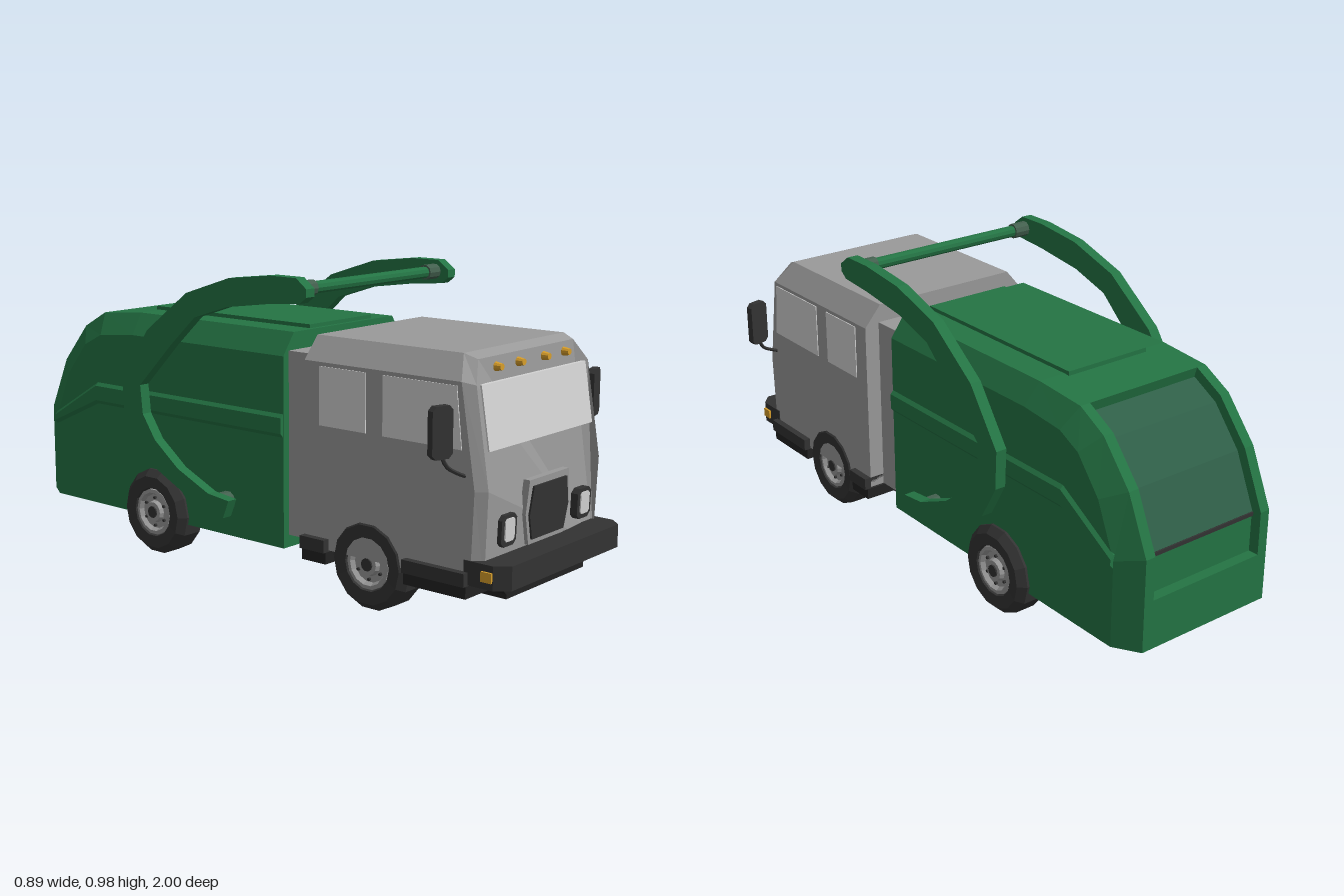
import * as THREE from 'three';

const mat = (name, color) => Object.assign(new THREE.MeshStandardMaterial({ color }), { name });

export function createModel() {
  const truck = new THREE.Group();
  truck.name = 'refuseTruck';
  const green = mat('body green', 0x247444);
  const grey = mat('cab grey', 0x9a9a9a);
  const black = mat('trim black', 0x333333);
  const deepBlack = mat('underside black', 0x222222);
  const glass = mat('window glass', 0xd3d3d3);
  const amber = mat('amber', 0xd99f2b);
  const rearGlass = mat('rear panel green', 0x2f5f48);
  const coupling = mat('coupling green grey', 0x44604f);

  const add = (name, geo, material) => {
    const g = geo.index ? geo.toNonIndexed() : geo;
    g.computeVertexNormals();
    const m = new THREE.Mesh(g, material);
    m.name = name;
    truck.add(m);
    return m;
  };
  const box = (name, x0, x1, y0, y1, z0, z1, material) =>
    add(name, new THREE.BoxGeometry(x1 - x0, y1 - y0, z1 - z0)
      .translate((x0 + x1) / 2, (y0 + y1) / 2, (z0 + z1) / 2), material);
  const shapeOf = pts => new THREE.Shape(pts.map(p => new THREE.Vector2(p[0], p[1])));
  // Side profile given as [z, y], spanning x0..x1
  const profile = (pts, x0, x1) =>
    new THREE.ExtrudeGeometry(shapeOf(pts.map(([z, y]) => [-z, y])), { depth: x1 - x0, bevelEnabled: false })
      .rotateY(Math.PI / 2).translate(x0, 0, 0);
  // Cylinder lying along x
  const rod = (r, x0, x1, y, z, n = 10) =>
    new THREE.CylinderGeometry(r, r, x1 - x0, n).rotateZ(Math.PI / 2).translate((x0 + x1) / 2, y, z);
  // Closed rings joined in order, with fan caps on both ends
  const loft = rings => {
    const pos = [];
    const tri = (a, b, c) => pos.push(...a, ...b, ...c);
    const n = rings[0].length;
    for (let i = 0; i + 1 < rings.length; i++)
      for (let j = 0; j < n; j++) {
        const k = (j + 1) % n, [r, s] = [rings[i], rings[i + 1]];
        tri(r[j], r[k], s[k]);
        tri(r[j], s[k], s[j]);
      }
    const first = rings[0], last = rings[rings.length - 1];
    for (let j = 1; j + 1 < n; j++) {
      tri(first[0], first[j + 1], first[j]);
      tri(last[0], last[j], last[j + 1]);
    }
    const g = new THREE.BufferGeometry();
    g.setAttribute('position', new THREE.Float32BufferAttribute(pos, 3));
    return g;
  };

  // Cab: chamfered section lofted toward a slanted front
  const slope = [[0.1, 0.908], [0.43, 0.92], [0.76, 0.865], [0.85, 0.8]];
  const frontZ = y => {
    const i = y < 0.43 ? 0 : y < 0.76 ? 1 : 2;
    const [a, b] = [slope[i], slope[i + 1]];
    return a[1] + (b[1] - a[1]) * (y - a[0]) / (b[0] - a[0]);
  };
  const cabRing = (half, z) => [...half, ...half.map(([x, y]) => [-x, y]).reverse()].map(([x, y]) => [x, y, z(y)]);
  const side = [[0.322, 0.16], [0.322, 0.43], [0.322, 0.735], [0.262, 0.805]];
  const face = [[0.295, 0.16], [0.297, 0.43], [0.295, 0.725], [0.25, 0.79]];
  add('cab', loft([cabRing(side, () => 0.265), cabRing(side, y => frontZ(y) - 0.03), cabRing(face, frontZ)]), grey);
  box('cabRearHousing', -0.27, 0.27, 0.16, 0.745, 0.15, 0.27, grey);

  // Plates that follow the cab front
  const frontPlate = (name, pts, depth, material) => {
    const g = new THREE.ExtrudeGeometry(shapeOf(pts), { depth: depth + 0.01, bevelEnabled: false });
    const p = g.attributes.position;
    for (let i = 0; i < p.count; i++) p.setZ(i, p.getZ(i) - 0.01 + frontZ(p.getY(i)));
    return add(name, g, material);
  };
  const chamfered = (cx, cy, w, h, c) => [[-w + c, -h], [w - c, -h], [w, -h + c], [w, h - c], [w - c, h], [-w + c, h], [-w, h - c], [-w, -h + c]]
    .map(([x, y]) => [x + cx, y + cy]);
  frontPlate('windscreen', [[-0.275, 0.538], [0.275, 0.538], [0.275, 0.723], [-0.275, 0.723]], 0.003, glass);
  frontPlate('grilleFrame', [[-0.095, 0.235], [0.095, 0.235], [0.118, 0.33], [0.105, 0.43], [-0.105, 0.43], [-0.118, 0.33]], 0.012, grey);
  frontPlate('grille', [[-0.085, 0.25], [0.085, 0.25], [0.104, 0.325], [0.088, 0.41], [-0.088, 0.41], [-0.104, 0.325]], 0.018, black);
  for (const s of [-1, 1]) {
    frontPlate('headlightFrame', chamfered(s * 0.203, 0.303, 0.038, 0.047, 0.014), 0.014, black);
    frontPlate('headlight', chamfered(s * 0.203, 0.305, 0.024, 0.034, 0.008), 0.018, glass);
  }
  for (const x of [-0.18, -0.068, 0.066, 0.177])
    add('roofLamp', new THREE.CylinderGeometry(0.01, 0.014, 0.022, 10).rotateX(Math.PI / 2)
      .translate(x, 0.763, frontZ(0.763) + 0.004), amber);

  // Bumper with chamfered corners, and the underside
  const bumper = new THREE.ExtrudeGeometry(
    shapeOf([[-0.325, -0.86], [0.325, -0.86], [0.325, -0.96], [0.29, -1], [-0.29, -1], [-0.325, -0.96]]),
    { depth: 0.072, bevelEnabled: false }).rotateX(-Math.PI / 2).translate(0, 0.158, 0);
  add('bumper', bumper, black);
  const apron = new THREE.ExtrudeGeometry(shapeOf([[-0.21, 0.1], [0.21, 0.1], [0.21, 0.115], [0.265, 0.16], [-0.265, 0.16], [-0.21, 0.115]]),
    { depth: 0.67, bevelEnabled: false }).translate(0, 0, 0.26);
  add('cabUnderside', apron, deepBlack);
  for (const s of [-1, 1]) {
    const span = (a, b) => s > 0 ? [a, b] : [-b, -a];
    // Steps either side of the front wheel
    for (const [z0, z1] of [[0.265, 0.36], [0.655, 0.875]]) {
      const [a, b] = span(0.2, 0.345), [c, d] = span(0.2, 0.335);
      box('step', a, b, 0.155, 0.195, z0, z1, black);
      box('lowerStep', c, d, 0.118, 0.155, z0, z1, deepBlack);
    }
    const [la, lb] = span(0.315, 0.332);
    box('bumperLamp', la, lb, 0.18, 0.21, 0.922, 0.958, amber);
    // Side windows and the strip between them
    const [wa, wb] = span(0.318, 0.325);
    add('doorWindow', profile([[0.565, 0.543], [0.845, 0.543], [0.825, 0.723], [0.565, 0.723]], wa, wb), glass);
    add('rearCabWindow', profile([[0.325, 0.543], [0.502, 0.543], [0.502, 0.723], [0.325, 0.723]], wa, wb), glass);
    // Mirror on a bent bracket
    const mirror = new THREE.ExtrudeGeometry(shapeOf(chamfered(0, 0, 0.036, 0.075, 0.013)), { depth: 0.022, bevelEnabled: false })
      .translate(0, 0, -0.011).rotateY(s * 0.27).translate(s * 0.405, 0.605, 0.83);
    add('mirror', mirror, black);
    const bend = new THREE.CatmullRomCurve3([[0.315, 0.468, 0.855], [0.35, 0.483, 0.85], [0.385, 0.505, 0.84], [0.405, 0.545, 0.83]]
      .map(([x, y, z]) => new THREE.Vector3(s * x, y, z)));
    add('mirrorBracket', new THREE.TubeGeometry(bend, 8, 0.006, 6), black);
  }

  // Hopper body: core plus a bevelled shell with a recessed tailgate; rows are outer, edge, recess [z, y]
  const rows = [
    [[0.155, 0.8], [0.155, 0.73]],
    [[-0.53, 0.8], [-0.52, 0.73]],
    [[-0.71, 0.785], [-0.68, 0.715]],
    [[-0.71, 0.785], [-0.68, 0.715], [-0.7, 0.75]],
    [[-0.81, 0.73], [-0.76, 0.675], [-0.79, 0.7]],
    [[-0.92, 0.6], [-0.85, 0.565], [-0.89, 0.58]],
    [[-1, 0.42], [-0.92, 0.4], [-0.965, 0.41]],
    [[-1, 0.28], [-0.92, 0.28], [-0.965, 0.28]],
    [[-1, 0.28], [-0.92, 0.28]],
    [[-1, 0.12], [-0.92, 0.12]],
  ];
  add('hopperCore', profile([...rows.filter(r => r.length === 2).slice(0, 3), ...rows.slice(4, 7), rows[9]].map(r => r[1]).concat([[0.155, 0.12]]), -0.295, 0.295), green);
  add('hopperShell', loft(rows.map(([p, q, r = p]) =>
    [[-0.295, q], [-0.245, p], [-0.21, p], [-0.21, r], [0.21, r], [0.21, p], [0.245, p], [0.295, q]]
      .map(([x, [z, y]]) => [x, y, z]))), green);
  const recess = rows.slice(3, 7).map(r => r[2]);
  add('tailgatePanel', profile([...recess.map(([z, y]) => [z - 0.003, y + 0.003]),
    ...recess.map(([z, y]) => [z + 0.004, y - 0.004]).reverse()], -0.209, 0.209), rearGlass);
  box('tailgateSeam', -0.209, 0.209, 0.4, 0.412, -0.972, -0.96, black);
  box('roofPanel', -0.152, 0.152, 0.79, 0.812, -0.55, 0.14, green);
  // Belt ridge running along both sides
  add('beltRidge', loft([[0.153, 0.55, 0.474], [-0.7, 0.55, 0.474], [-0.92, 0.42, 0.375]].map(([z, t, b]) =>
    [[-0.294, t], [0.294, t], [0.306, t - 0.012], [0.306, b + 0.014], [0.294, b], [-0.294, b], [-0.306, b + 0.014], [-0.306, t - 0.012]]
      .map(([x, y]) => [x, y, z]))), green);

  // Curved lifting arms, joined by a crossbar
  const arm = [[-0.01, 0.26], [-0.035, 0.2], [-0.1, 0.2], [-0.42, 0.355], [-0.485, 0.47], [-0.49, 0.595], [-0.367, 0.77],
    [-0.185, 0.905], [0, 0.965], [0.17, 0.985], [0.275, 0.985], [0.315, 0.955], [0.315, 0.93], [0.29, 0.91], [0.17, 0.9],
    [-0.01, 0.875], [-0.15, 0.83], [-0.26, 0.73], [-0.405, 0.585], [-0.395, 0.49], [-0.34, 0.41], [-0.235, 0.33], [-0.1, 0.27]];
  for (const s of [-1, 1]) {
    const span = (a, b) => s > 0 ? [a, b] : [-b, -a];
    add('liftArm', profile(arm, ...span(0.335, 0.372)), green);
    add('armPivot', rod(0.032, ...span(0.28, 0.34), 0.235, -0.085), coupling);
    add('barCoupling', rod(0.025, ...span(0.28, 0.336), 0.948, 0.26), coupling);
  }
  add('crossbar', rod(0.019, -0.3, 0.3, 0.948, 0.26), green);

  // Wheels: chunky tyre, dished hub, nuts and dark centre
  const lathe = pts => new THREE.LatheGeometry(pts.map(p => new THREE.Vector2(p[0], p[1])), 14);
  const tyre = [[0, -0.058], [0.125, -0.058], [0.145, -0.036], [0.145, 0.034], [0.123, 0.058], [0.083, 0.054], [0.078, 0.03], [0, 0.03]];
  const hub = [[0.08, 0.03], [0.078, 0.05], [0.066, 0.052], [0.058, 0.038], [0.038, 0.038], [0.033, 0.052], [0, 0.052]];
  for (const z of [0.51, -0.41])
    for (const s of [-1, 1]) {
      const place = g => g.rotateZ(-s * Math.PI / 2).translate(s * 0.269, 0.145, z);
      add('tyre', place(lathe(tyre)), black);
      add('hub', place(lathe(hub)), grey);
      add('hubCentre', place(new THREE.CylinderGeometry(0.02, 0.02, 0.03, 10).translate(0, 0.042, 0)), black);
      for (let i = 0; i < 6; i++) {
        const a = i * Math.PI / 3;
        add('wheelNut', place(new THREE.CylinderGeometry(0.005, 0.005, 0.012, 6)
          .translate(0.048 * Math.cos(a), 0.04, 0.048 * Math.sin(a))), black);
      }
    }
  for (const z of [0.51, -0.41]) add('axle', rod(0.02, -0.22, 0.22, 0.145, z), deepBlack);
  return truck;
}
